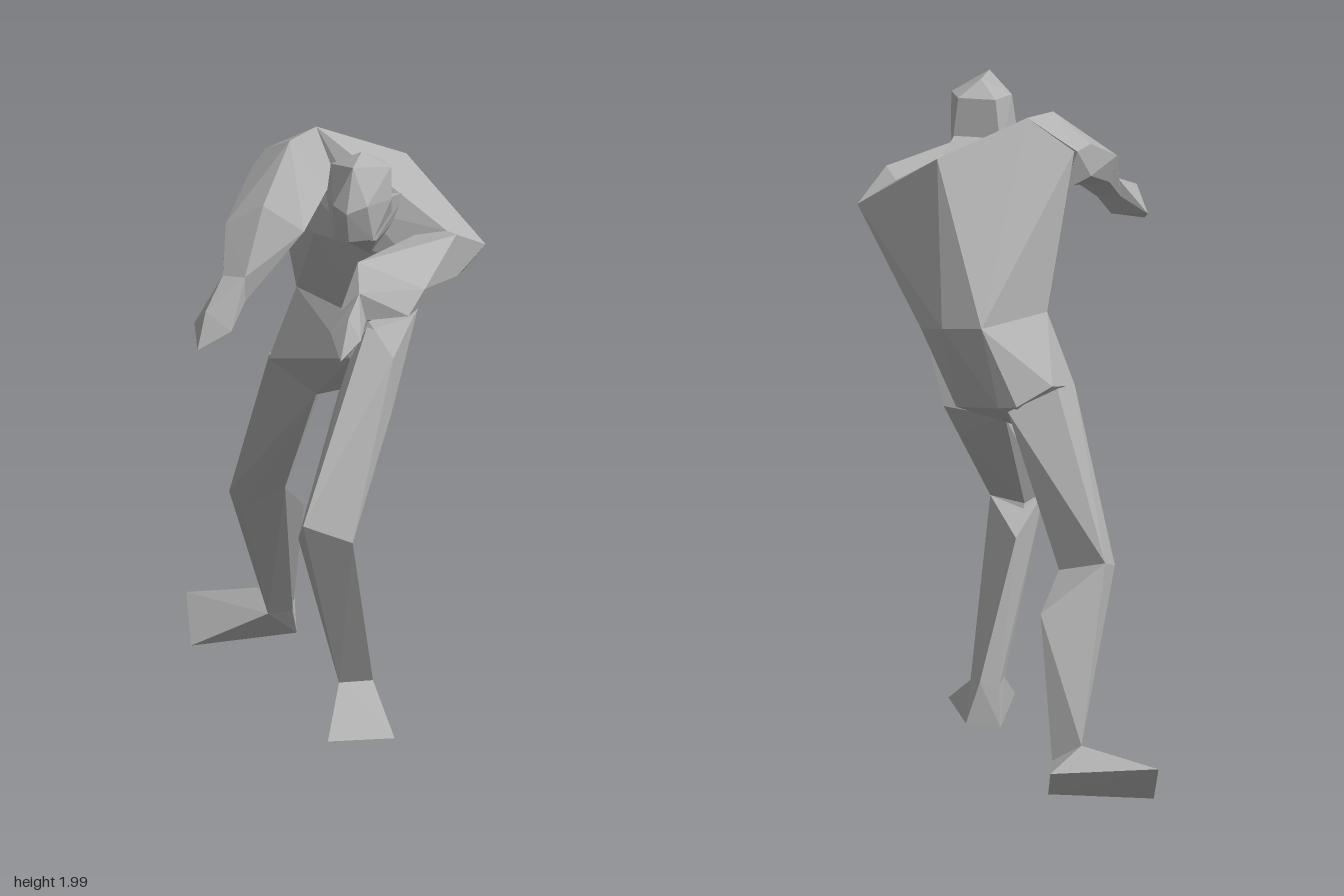
import * as THREE from 'three';
import { ConvexGeometry } from 'three/addons/geometries/ConvexGeometry.js';

const skin = new THREE.MeshStandardMaterial({ color: 0xb2b2b2 });
skin.name = 'plain grey';

// One faceted body part, stretched over its cross-section rings.
function part(name, ...rings) {
  const points = rings.flat().map((p) => new THREE.Vector3(...p));
  const mesh = new THREE.Mesh(new ConvexGeometry(points), skin);
  mesh.name = name;
  return mesh;
}

// A limb: each named part spans two neighbouring rings, so joints meet exactly.
function limb(name, names, rings) {
  const group = new THREE.Group();
  group.name = name;
  names.forEach((n, i) => group.add(part(n, rings[i], rings[i + 1])));
  return group;
}

export function createModel() {
  const model = new THREE.Group();
  model.name = 'lungingFigure';

  // Torso: shoulders twisted and leaning forward over the waist
  const shoulders = [
    [-0.14, 1.88, 0.01], [0.02, 1.97, 0.05], [0.285, 1.86, -0.085], [0.58, 1.63, 0.12],
    [0.5, 1.53, 0.1], [0.38, 1.57, 0.23], [0.47, 1.69, 0.2], [0.2, 1.73, 0.17],
    [0.19, 1.62, 0.18], [0.02, 1.63, 0.09],
  ];
  const waist = [
    [0.08, 1.41, -0.42], [0.22, 1.38, -0.35], [0.31, 1.34, -0.23],
    [0.175, 1.32, -0.02], [-0.08, 1.39, -0.14],
  ];
  const hips = [
    [-0.17, 1.15, -0.14], [0, 1.15, -0.1], [0.12, 1.2, 0], [0.25, 1.2, -0.05],
    [-0.03, 1.02, -0.21], [0.04, 1.05, -0.2], [0.2, 1.08, -0.21],
    [0.03, 1.14, -0.39], [-0.03, 1.15, -0.4], [-0.13, 1.2, -0.32],
  ];
  model.add(limb('torso', ['chest', 'pelvis'], [shoulders, waist, hips]));

  // Neck and head
  model.add(part('neck',
    [[0.14, 1.78, 0.1], [0.32, 1.78, 0.08], [0.16, 1.7, 0.18], [0.29, 1.7, 0.18], [0.22, 1.6, 0.19]],
    [[0.15, 1.82, 0.33], [0.3, 1.82, 0.33], [0.17, 1.7, 0.4], [0.28, 1.7, 0.4]]));
  model.add(part('head',
    [[0.23, 1.985, 0.38], [0.23, 1.97, 0.53], [0.17, 1.94, 0.31], [0.29, 1.94, 0.31]],
    [[0.13, 1.94, 0.38], [0.325, 1.94, 0.38], [0.12, 1.84, 0.4], [0.33, 1.84, 0.4]],
    [[0.17, 1.85, 0.55], [0.28, 1.85, 0.55], [0.22, 1.83, 0.585]],
    [[0.15, 1.77, 0.3], [0.31, 1.77, 0.3], [0.16, 1.73, 0.5], [0.29, 1.73, 0.5],
      [0.22, 1.73, 0.545], [0.22, 1.7, 0.45]]));

  // Left arm: reaching straight ahead, hand drooping
  model.add(limb('leftArm', ['leftShoulder', 'leftForearm', 'leftWrist', 'leftHand', 'leftFingers'], [
    [[0.58, 1.63, 0.12], [0.5, 1.53, 0.1], [0.47, 1.69, 0.2], [0.38, 1.59, 0.19]],
    [[0.52, 1.705, 0.3], [0.52, 1.565, 0.28], [0.38, 1.57, 0.27], [0.38, 1.69, 0.27]],
    [[0.487, 1.62, 0.66], [0.45, 1.55, 0.74], [0.3, 1.54, 0.72], [0.28, 1.71, 0.71]],
    [[0.3, 1.63, 0.79], [0.24, 1.57, 0.8], [0.32, 1.54, 0.78]],
    [[0.29, 1.58, 0.92], [0.23, 1.53, 0.91], [0.33, 1.51, 0.92], [0.29, 1.46, 0.88]],
    [[0.28, 1.46, 1.0]],
  ]));

  // Right arm: raised shoulder, forearm dropping to the hand
  model.add(limb('rightArm', ['rightShoulder', 'rightUpperArm', 'rightForearm', 'rightHand', 'rightFingers'], [
    [[-0.15, 1.88, 0.01], [0.02, 1.97, 0.05], [0.1, 1.82, 0.1], [0.02, 1.7, 0.08], [-0.1, 1.74, 0.03]],
    [[-0.165, 1.86, 0.16], [-0.04, 1.955, 0.18], [0.08, 1.8, 0.18], [-0.02, 1.71, 0.15], [-0.17, 1.76, 0.14]],
    [[-0.2, 1.74, 0.43], [-0.075, 1.81, 0.45], [0.07, 1.75, 0.52], [-0.03, 1.64, 0.49], [-0.17, 1.64, 0.46]],
    [[-0.18, 1.61, 0.58], [-0.1, 1.62, 0.63], [-0.1, 1.54, 0.62], [-0.18, 1.55, 0.6]],
    [[-0.255, 1.475, 0.67], [-0.13, 1.46, 0.7], [-0.2, 1.54, 0.77]],
    [[-0.22, 1.42, 0.8]],
  ]));

  // Left leg: bent and planted in front
  const leftAnkle = [[0.08, 0.13, -0.02], [0.18, 0.13, -0.07], [0.14, 0.14, -0.125], [0.08, 0.13, -0.11]];
  model.add(limb('leftLeg', ['leftThigh', 'leftShin', 'leftFoot'], [
    [[0.175, 1.32, -0.03], [0.3, 1.33, -0.22], [0.12, 1.2, 0.0], [0.255, 1.2, -0.02],
      [0.25, 1.02, -0.01], [0.24, 1.08, -0.21], [0.2, 0.97, -0.13], [0.05, 1.04, -0.17]],
    [[0.03, 0.73, 0.325], [0.0, 0.67, 0.25], [0.17, 0.655, 0.22], [0.05, 0.65, 0.17]],
    leftAnkle,
    [[0.09, 0, 0.22], [0.29, 0, 0.14], [0.18, 0.01, -0.15], [0.07, 0, -0.14]],
  ]));
  model.add(part('leftCalf',
    [[0.0, 0.67, 0.25], [0.17, 0.655, 0.22], [0.05, 0.58, 0.02]], leftAnkle));

  // Right leg: stretched out behind, foot turned outwards
  const rightAnkle = [[-0.33, 0.195, -0.89], [-0.3, 0.13, -0.81], [-0.23, 0.13, -0.86]];
  const rightKnee = [[-0.345, 0.64, -0.39], [-0.34, 0.69, -0.53], [-0.18, 0.64, -0.47], [-0.31, 0.57, -0.45]];
  model.add(limb('rightLeg', ['rightThigh', 'rightShin', 'rightFoot'], [
    [[-0.17, 1.16, -0.15], [-0.03, 1.02, -0.21], [0, 1.13, -0.39], [-0.15, 1.2, -0.34]],
    rightKnee,
    rightAnkle,
    [[-0.59, 0.15, -0.95], [-0.55, 0.01, -0.82], [-0.25, 0.13, -1.0], [-0.23, 0.04, -0.93]],
  ]));
  model.add(part('rightCalf', rightKnee.slice(1), [[-0.15, 0.54, -0.63]], rightAnkle));

  return model;
}
